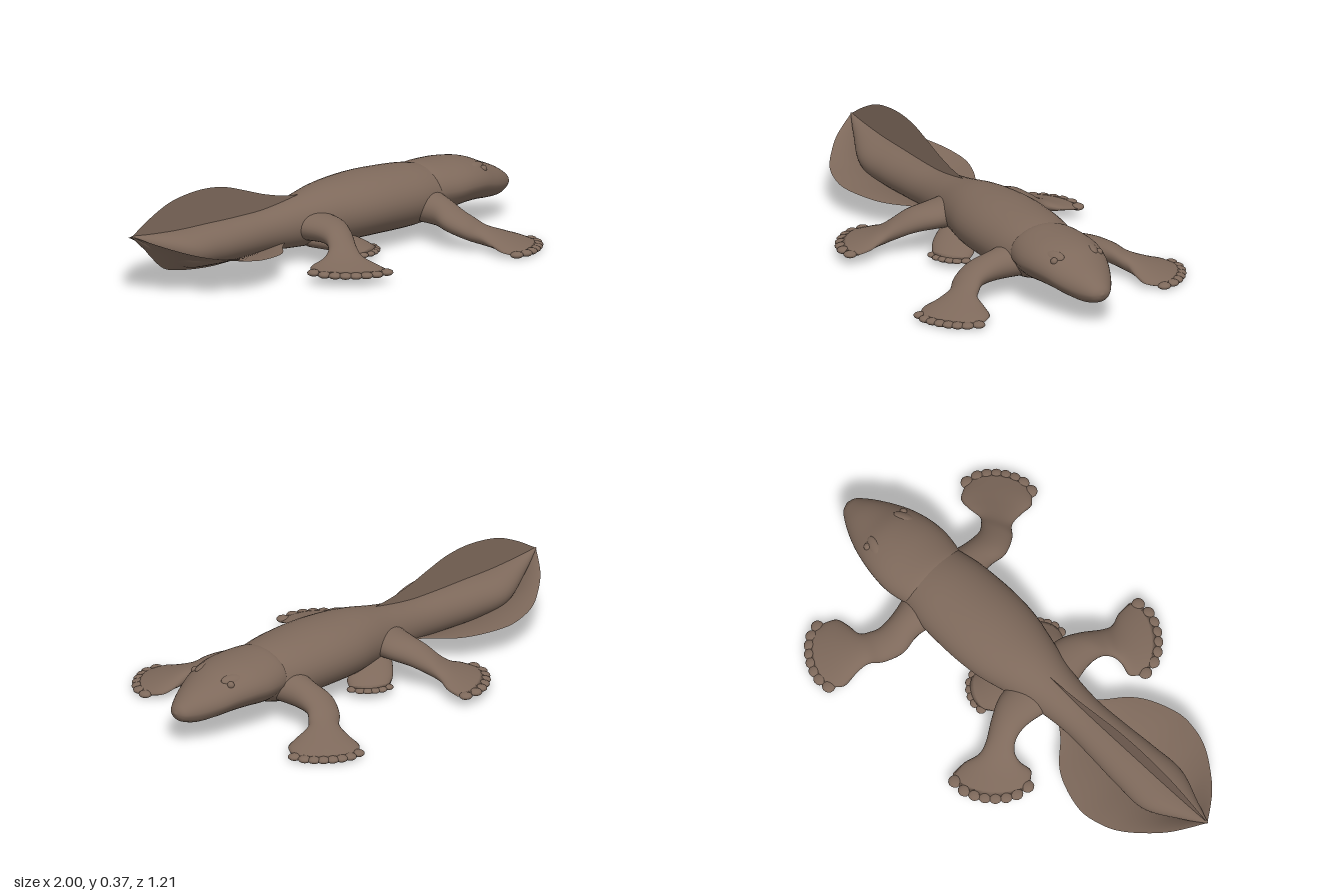
import * as THREE from 'three';

// Smoothly resample rows of numbers with n steps between neighbours
function smooth(rows, n) {
  const size = rows[0].length;
  const curve = new THREE.CubicInterpolant(rows.map((_, i) => i), rows.flat(), size, new Float32Array(size));
  const out = [];
  for (let i = 0; i <= (rows.length - 1) * n; i++) out.push(Array.from(curve.evaluate(i / n)));
  return out;
}

// Closed skin over rings of points, with a capped start and end
function loft(rings) {
  const m = rings[0].length, pos = rings.flat(2), idx = [];
  for (let i = 0; i < rings.length - 1; i++) {
    for (let j = 0; j < m; j++) {
      const a = i * m + j, b = i * m + (j + 1) % m;
      idx.push(a, a + m, b, b, a + m, b + m);
    }
  }
  [0, rings.length - 1].forEach((i, end) => {
    const centre = pos.length / 3;
    for (let k = 0; k < 3; k++) pos.push(rings[i].reduce((s, p) => s + p[k], 0) / m);
    for (let j = 0; j < m; j++) {
      const a = i * m + j, b = i * m + (j + 1) % m;
      idx.push(centre, ...(end ? [b, a] : [a, b]));
    }
  });
  return toGeometry(pos, idx);
}

// Open sheet between matching rows of points
function sheet(rows) {
  const m = rows[0].length, idx = [];
  for (let i = 0; i < rows.length - 1; i++) {
    for (let j = 0; j < m - 1; j++) {
      const a = i * m + j;
      idx.push(a, a + m, a + 1, a + 1, a + m, a + m + 1);
    }
  }
  return toGeometry(rows.flat(2), idx);
}

function toGeometry(pos, idx) {
  const g = new THREE.BufferGeometry();
  g.setAttribute('position', new THREE.Float32BufferAttribute(pos, 3));
  g.setIndex(idx);
  g.computeVertexNormals();
  return g;
}

// Cross-section rings along x; rows are x, top, bottom, half width
function trunkRings(rows, jaw = 1) {
  const m = 40;
  return smooth(rows, 6).map(([x, top, bottom, w]) => Array.from({ length: m }, (_, j) => {
    const a = j / m * Math.PI * 2, s = Math.sin(a);
    const tuck = s < -0.3 ? jaw : 1;
    return [x, (top + bottom) / 2 + s * (top - bottom) / 2, Math.cos(a) * w * tuck];
  }));
}

// Limb rows: back edge x, z; front edge x, z; height; half thickness; outward bulge
function limbPoint([lx, lz, rx, rz, y, t, bulge], a, side) {
  const c = Math.cos(a), dx = rx - lx, dz = rz - lz, len = Math.hypot(dx, dz);
  const out = bulge * Math.abs(Math.sin(a)) / len;
  return [
    (lx + rx) / 2 + dx / 2 * c - dz * out,
    y - side * t * Math.sin(a),
    side * ((lz + rz) / 2 + dz / 2 * c + dx * out),
  ];
}

const TRUNK = [
  [-1, 0.253, 0.247, 0.003], [-0.9, 0.243, 0.165, 0.048], [-0.75, 0.235, 0.085, 0.11],
  [-0.6, 0.235, 0.068, 0.108], [-0.45, 0.235, 0.068, 0.097], [-0.3, 0.24, 0.07, 0.09],
  [-0.15, 0.262, 0.062, 0.105], [0, 0.293, 0.055, 0.142], [0.12, 0.305, 0.05, 0.17],
  [0.25, 0.31, 0.05, 0.18], [0.4, 0.305, 0.05, 0.175], [0.5, 0.295, 0.057, 0.16],
  [0.58, 0.275, 0.085, 0.138], [0.65, 0.24, 0.13, 0.09],
];
const HEAD = [
  [0.495, 0.26, 0.13, 0.1], [0.51, 0.284, 0.105, 0.137], [0.54, 0.294, 0.092, 0.155],
  [0.62, 0.294, 0.09, 0.168], [0.7, 0.289, 0.098, 0.163], [0.78, 0.274, 0.099, 0.145],
  [0.85, 0.245, 0.094, 0.12], [0.92, 0.215, 0.092, 0.085], [0.97, 0.185, 0.106, 0.052],
  [0.99, 0.168, 0.122, 0.032], [1, 0.15, 0.142, 0.005],
];
const LIMBS = {
  frontLeg: { toes: 8, toe: 0.027, rows: [
    [0.38, 0.09, 0.57, 0.09, 0.15, 0.07, 0], [0.41, 0.2, 0.545, 0.2, 0.137, 0.058, 0],
    [0.405, 0.29, 0.545, 0.28, 0.115, 0.048, 0], [0.44, 0.365, 0.57, 0.32, 0.088, 0.044, 0],
    [0.485, 0.41, 0.6, 0.345, 0.065, 0.038, 0], [0.495, 0.47, 0.66, 0.345, 0.046, 0.031, 0.025],
    [0.495, 0.53, 0.715, 0.355, 0.03, 0.022, 0.055], [0.52, 0.56, 0.742, 0.4, 0.019, 0.01, 0.075],
  ] },
  rearLeg: { toes: 8, toe: 0.027, rows: [
    [-0.19, 0.07, 0, 0.07, 0.155, 0.06, 0], [-0.17, 0.17, -0.01, 0.17, 0.152, 0.052, 0],
    [-0.175, 0.24, -0.045, 0.25, 0.137, 0.047, 0], [-0.2, 0.28, -0.09, 0.33, 0.102, 0.042, 0],
    [-0.24, 0.29, -0.1, 0.38, 0.076, 0.034, 0.01], [-0.29, 0.28, -0.08, 0.44, 0.06, 0.024, 0.04],
    [-0.315, 0.305, -0.077, 0.505, 0.05, 0.01, 0.09],
  ] },
  bellyFoot: { toes: 6, toe: 0.021, rows: [
    [-0.13, 0.06, 0, 0.03, 0.095, 0.038, 0], [-0.07, 0.14, 0.04, 0.07, 0.082, 0.036, 0],
    [-0.02, 0.195, 0.125, 0.085, 0.06, 0.028, 0.015], [0.02, 0.215, 0.155, 0.125, 0.038, 0.012, 0.045],
  ] },
};
// Fin edges: x, y, z and root y at the middle
const TOP_FIN = [
  [-1, 0.25, 0, 0.25], [-0.9, 0.31, 0, 0.22], [-0.8, 0.355, 0, 0.2], [-0.7, 0.375, 0, 0.2],
  [-0.6, 0.38, 0, 0.2], [-0.5, 0.368, 0, 0.2], [-0.4, 0.338, 0, 0.2], [-0.3, 0.305, 0, 0.2],
  [-0.2, 0.281, 0, 0.2], [-0.1, 0.268, 0, 0.2],
];
const SIDE_FIN = [
  [-1, 0.25, 0, 0.25], [-0.95, 0.225, 0.07, 0.205], [-0.9, 0.203, 0.13, 0.15],
  [-0.83, 0.178, 0.19, 0.09], [-0.75, 0.158, 0.245, 0.07], [-0.67, 0.145, 0.275, 0.06],
  [-0.57, 0.132, 0.285, 0.055], [-0.45, 0.122, 0.25, 0.06], [-0.37, 0.115, 0.2, 0.065],
  [-0.3, 0.11, 0.12, 0.07], [-0.24, 0.11, 0.07, 0.075],
];

// Fin sheet from root to edge; a bow above 1 makes it steep inside and flat outside
function finGeometry(rows, side, bow) {
  return sheet(smooth(rows, 4).map(([x, y, z, root]) => Array.from({ length: 11 }, (_, j) => {
    const t = j / 10;
    return [x, THREE.MathUtils.lerp(root, y, 1 - (1 - t) ** bow), side * z * t];
  })));
}

export function createModel() {
  const model = new THREE.Group();
  const skin = new THREE.MeshStandardMaterial({ color: 0x7e695b });
  skin.name = 'brown skin';
  skin.side = THREE.DoubleSide;
  const add = (name, geometry, parent = model) => {
    const mesh = new THREE.Mesh(geometry, skin);
    mesh.name = name;
    parent.add(mesh);
    return mesh;
  };

  add('bodyAndTail', loft(trunkRings(TRUNK)));
  add('head', loft(trunkRings(HEAD, 0.97)));
  add('topTailFin', finGeometry(TOP_FIN, 1, 1));

  for (const side of [1, -1]) {
    const label = side > 0 ? 'Near' : 'Far';
    // Side fins rise outward from a keel under the tail
    add('sideTailFin' + label, finGeometry(SIDE_FIN, side, 2));

    // Eye under a low brow
    const eye = add('eye' + label, new THREE.SphereGeometry(0.015, 16, 12));
    eye.position.set(0.79, 0.24, side * 0.103);
    const brow = add('brow' + label, new THREE.SphereGeometry(1, 16, 12));
    brow.scale.set(0.05, 0.013, 0.024);
    brow.position.set(0.765, 0.251, side * 0.088);
    brow.rotation.set(side * 0.6, side * 0.3, -0.2);

    // Legs and feet with a row of rounded toes
    for (const [name, limb] of Object.entries(LIMBS)) {
      const group = new THREE.Group();
      group.name = name + label;
      model.add(group);
      const m = 28;
      add('limb', loft(smooth(limb.rows, 5).map(row =>
        Array.from({ length: m }, (_, j) => limbPoint(row, j / m * Math.PI * 2, side)))), group);
      const last = limb.rows[limb.rows.length - 1].slice();
      last[5] = 0;
      for (let i = 0; i < limb.toes; i++) {
        const a = Math.acos(1 - 2 * (i + 0.25) / (limb.toes - 0.5));
        const toe = add('toe', new THREE.SphereGeometry(limb.toe, 14, 10), group);
        toe.scale.y = 0.5;
        toe.position.set(...limbPoint(last, a, side));
      }
    }
  }
  return model;
}
